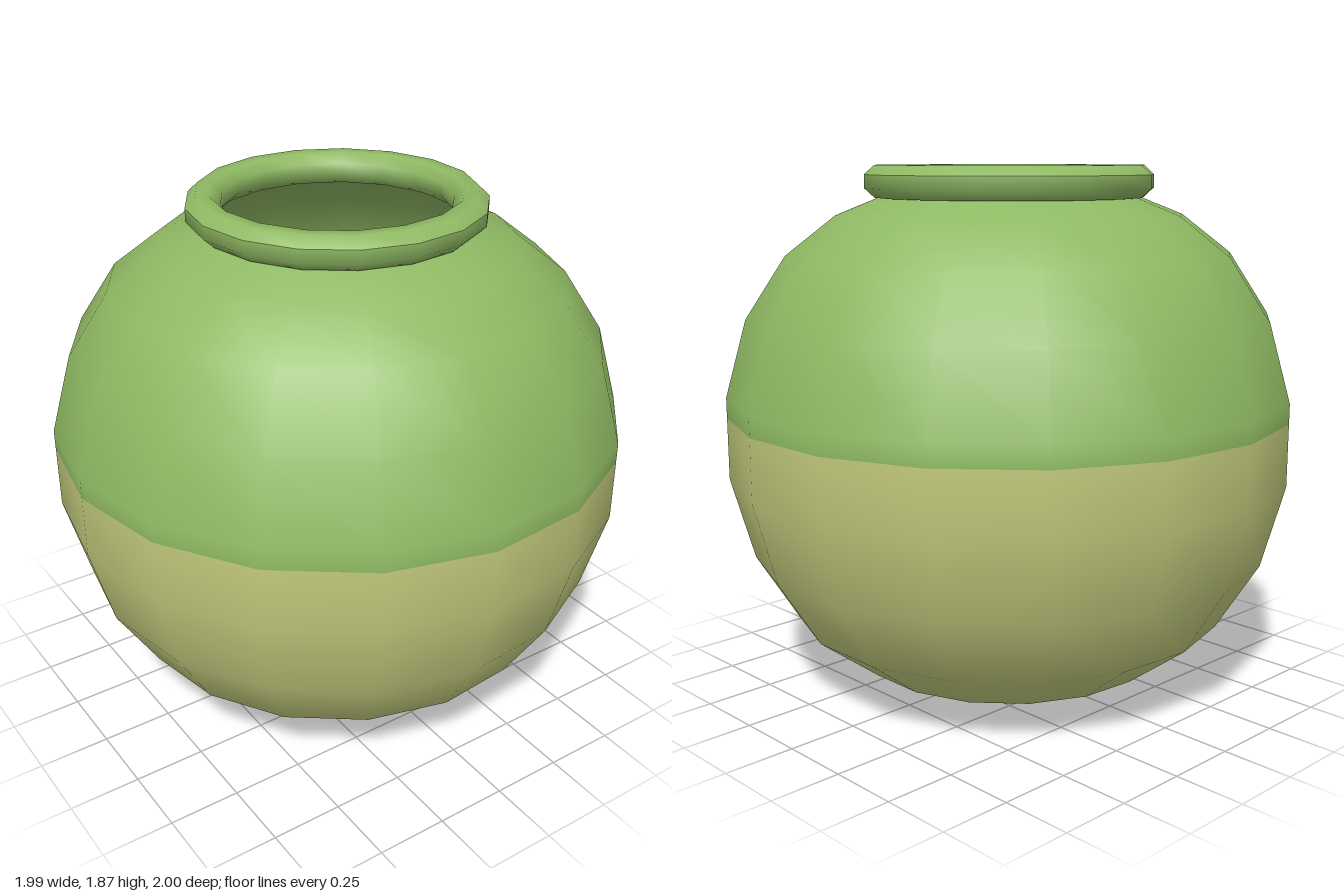
import * as THREE from 'three';

const SIDES = 17;

export function createModel() {
  const group = new THREE.Group();
  const green = new THREE.MeshStandardMaterial({ name: 'leafGreen', color: 0x8fb963, side: THREE.DoubleSide });
  const olive = new THREE.MeshStandardMaterial({ name: 'paleOlive', color: 0xc3cb7d, side: THREE.DoubleSide });

  // Lathe with one corner pointing to -x
  const lathe = (points) => new THREE.LatheGeometry(
    points.map(([r, y]) => new THREE.Vector2(r, y)), SIDES, -Math.PI / 2, Math.PI * 2);

  // Round hollow body, open at the top; the lower rings are olive, the upper ones green
  const lower = [[0, 0], [0.295, 0.02], [0.555, 0.095], [0.775, 0.26], [0.924, 0.5], [1.004, 0.79], [1.004, 1.01]];
  const upper = [[1.004, 1.08], [0.928, 1.35], [0.787, 1.565], [0.613, 1.7], [0.45, 1.765]];
  const body = lathe([...lower, ...upper]);
  const lowCount = (lower.length - 1) * 6;
  const upCount = upper.length * 6;
  for (let i = 0; i < SIDES; i++) {
    const start = i * (lowCount + upCount);
    body.addGroup(start, lowCount, 0);
    body.addGroup(start + lowCount, upCount, 1);
  }
  const bodyMesh = new THREE.Mesh(body, [olive, green]);
  bodyMesh.name = 'potBody';

  // Rounded lip: an eight-sided ring section
  const ring = [];
  for (let i = 0; i <= 8; i++) {
    const a = (i + 0.5) * Math.PI / 4;
    ring.push([0.451 + 0.064 * Math.cos(a), 1.815 + 0.06 * Math.sin(a)]);
  }
  const lip = new THREE.Mesh(lathe(ring), green);
  lip.name = 'rimLip';

  // Offset that centres the odd-sided outline
  group.add(bodyMesh, lip);
  group.children.forEach((m) => { m.position.x = 0.008; });
  return group;
}
